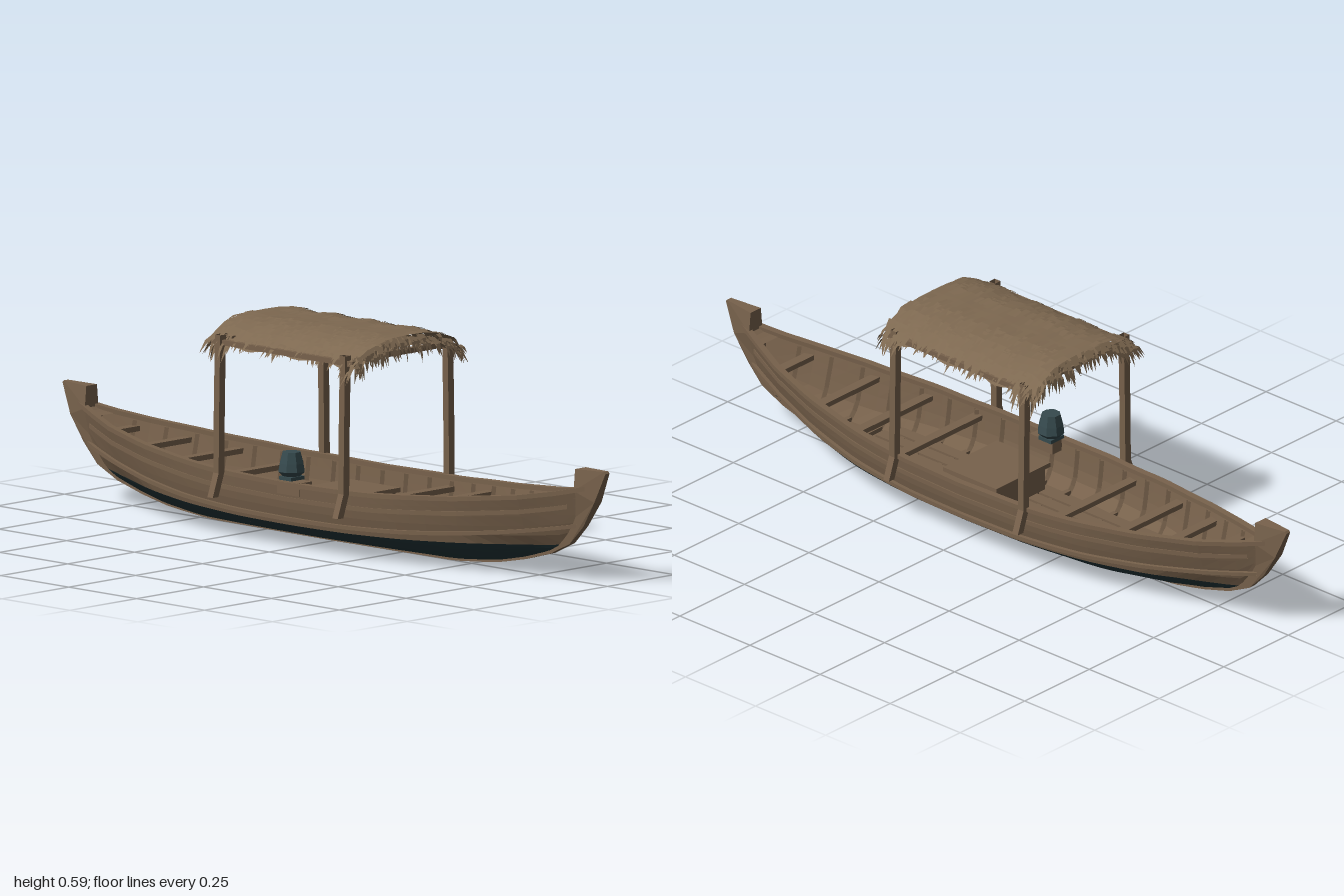
import * as THREE from 'three';
import { mergeGeometries } from 'three/addons/utils/BufferGeometryUtils.js';

const mat = (name, color) => new THREE.MeshStandardMaterial({ name, color, side: THREE.DoubleSide });

// piecewise linear lookup
function lut(table, v) {
  if (v <= table[0][0]) return table[0][1];
  for (let i = 1; i < table.length; i++) {
    const [a, b] = [table[i - 1], table[i]];
    if (v <= b[0]) return a[1] + (b[1] - a[1]) * (v - a[0]) / (b[0] - a[0]);
  }
  return table[table.length - 1][1];
}

// hull lines: keel height, gunwale height, half beam and paint line along x
const END = 0.94;
const keelY = x => lut([[0, 0.006], [0.45, 0.008], [0.6, 0.022], [0.7, 0.042], [0.8, 0.07], [0.86, 0.1], [0.94, 0.19]], Math.abs(x));
const gunY = x => lut([[0, 0.173], [0.3, 0.178], [0.55, 0.195], [0.75, 0.217], [0.86, 0.236], [0.94, 0.255]], Math.abs(x));
const beam = x => lut([[0, 0.19], [0.2, 0.187], [0.4, 0.168], [0.6, 0.128], [0.75, 0.085], [0.86, 0.042], [0.94, 0.012]], Math.abs(x));
const paintY = x => Math.max(keelY(x), 0.062 + 0.03 * Math.pow(Math.abs(x) / 0.85, 2));
const section = [[0, 0.05], [0.06, 0.34], [0.17, 0.66], [0.32, 0.9], [0.65, 0.97], [1, 1]];
function halfWidth(x, y) {
  const t = THREE.MathUtils.clamp((y - keelY(x)) / (gunY(x) - keelY(x)), 0, 1);
  return beam(x) * THREE.MathUtils.lerp(lut(section, t), 0.1 + 0.9 * t, Math.pow(Math.abs(x) / END, 3));
}

// grid surface from f(u, v) -> [x, y, z]
function sheet(nu, nv, f) {
  const pos = [], idx = [];
  for (let i = 0; i <= nu; i++) for (let j = 0; j <= nv; j++) pos.push(...f(i / nu, j / nv));
  for (let i = 0; i < nu; i++) for (let j = 0; j < nv; j++) {
    const a = i * (nv + 1) + j, b = a + nv + 1;
    idx.push(a, b, a + 1, b, b + 1, a + 1);
  }
  const g = new THREE.BufferGeometry();
  g.setAttribute('position', new THREE.Float32BufferAttribute(pos, 3));
  g.setIndex(idx);
  return flat(g);
}
function flat(geo) {
  const g = geo.index ? geo.toNonIndexed() : geo;
  g.deleteAttribute('uv');
  g.computeVertexNormals();
  return g;
}
const along = (u, end = END) => (u * 2 - 1) * end;

// rectangular strip following the hull side at height yf(x)
function strip(side, yf, out, inn, h, end = END) {
  return sheet(40, 4, (u, v) => {
    const x = along(u, end), y = yf(x), k = Math.round(v * 4) % 4;
    const z = Math.max(0.001, halfWidth(x, y) + (k === 0 || k === 3 ? out : -inn));
    return [x, y + (k < 2 ? -h / 2 : h / 2), side * z];
  });
}

export function createModel() {
  const boat = new THREE.Group();
  boat.name = 'boat';
  const wood = mat('weathered wood', 0x78624c);
  const paint = mat('dark teal paint', 0x23363a);
  const thatch = mat('dry thatch', 0x7d6850);
  const metal = mat('motor grey teal', 0x364a4e);
  let seed = 7;
  const rnd = (a, b) => {
    seed = (seed * 16807) % 2147483647;
    return a + (b - a) * seed / 2147483647;
  };
  const add = (name, geo, m) => {
    const mesh = new THREE.Mesh(Array.isArray(geo) ? mergeGeometries(geo.map(flat)) : flat(geo), m);
    mesh.name = name;
    boat.add(mesh);
    return mesh;
  };
  const box = (w, h, d, x, y, z) => new THREE.BoxGeometry(w, h, d).translate(x, y, z);
  const sides = [1, -1];

  // hull skins
  const skin = (s, lo, hi, n, inset) => sheet(40, n, (u, v) => {
    const x = along(u), y = lo(x) + (hi(x) - lo(x)) * v;
    return [x, y, s * Math.max(0.001, halfWidth(x, y) - inset)];
  });
  const floorY = x => Math.max(0.05, keelY(x) + 0.03);
  add('paintedBottom', sides.map(s => skin(s, keelY, paintY, 6, 0)), paint);
  add('hullSides', sides.map(s => skin(s, paintY, gunY, 5, 0)), wood);
  add('innerPlanking', sides.map(s => skin(s, floorY, gunY, 4, 0.012)), wood);
  add('floor', sheet(40, 2, (u, v) => {
    const x = along(u, 0.88), y = floorY(x);
    return [x, y, (v * 2 - 1) * Math.max(0.001, halfWidth(x, y) - 0.01)];
  }), wood);

  // rails and strakes
  add('gunwales', sides.map(s => strip(s, gunY, 0.005, 0.014, 0.012)), wood);
  add('rubRails', sides.map(s => strip(s, x => 0.08 + 0.07 * Math.pow(Math.abs(x) / 0.9, 2.4), 0.012, 0.004, 0.01, 0.9)), wood);
  add('upperStrakes', sides.map(s => strip(s, x => gunY(x) - 0.04, 0.004, 0.004, 0.012, 0.88)), wood);

  // keel and raised stem posts
  add('keel', sheet(40, 4, (u, v) => {
    const x = along(u), k = Math.round(v * 4) % 4;
    return [x, keelY(x) + (k < 2 ? -0.006 : 0.006), (k === 0 || k === 3 ? 1 : -1) * 0.009];
  }), wood);
  const stemShape = new THREE.Shape([[0.82, 0.074], [0.87, 0.098], [0.92, 0.15], [0.965, 0.22], [1, 0.3], [0.995, 0.305],
    [0.9, 0.303], [0.9, 0.245], [0.88, 0.235], [0.875, 0.16]].map(p => new THREE.Vector2(...p)));
  add('stemPosts', [0, Math.PI].map(turn => {
    const g = new THREE.ExtrudeGeometry(stemShape, { depth: 2, bevelEnabled: false }).translate(0, 0, -1);
    const p = g.attributes.position;
    for (let i = 0; i < p.count; i++) {
      const x = p.getX(i), y = p.getY(i);
      const w = lut([[0.07, 0.009], [0.15, 0.011], [0.235, 0.028], [0.305, 0.021]], y) * lut([[0.89, 1], [1, 0.35]], x);
      p.setZ(i, p.getZ(i) * w);
    }
    return g.rotateY(turn);
  }), wood);
  add('endDecks', sides.map(s => sheet(4, 2, (u, v) => {
    const x = s * (0.85 + 0.08 * u);
    return [x, gunY(x) - 0.004, (v * 2 - 1) * beam(x)];
  })), wood);

  // ribs, thwarts and floor boards
  const ribs = [], boards = [];
  for (let i = -9; i <= 9; i++) {
    const x = i * 0.088;
    for (const s of sides) {
      const pts = [0, 0.25, 0.5, 0.75, 1].map(t => {
        const y = floorY(x) + (gunY(x) - 0.008 - floorY(x)) * t;
        return new THREE.Vector3(x, y, s * Math.max(0.004, halfWidth(x, y) - 0.014));
      });
      ribs.push(new THREE.TubeGeometry(new THREE.CatmullRomCurve3(pts), 5, 0.008, 4));
    }
    ribs.push(box(0.014, 0.012, 2 * halfWidth(x, floorY(x)) - 0.02, x, floorY(x) + 0.006, 0));
  }
  for (let i = -2; i <= 2; i++) boards.push(box(1.1 - Math.abs(i) * 0.08, 0.008, 0.036, rnd(-0.02, 0.02), 0.062, i * 0.045));
  add('ribs', ribs, wood);
  add('floorBoards', boards, wood);
  add('thwarts', [-0.79, -0.645, -0.49, -0.295, 0.26, 0.42, 0.58, 0.765].map(x => {
    const y = gunY(x) - 0.028;
    return box(0.028, 0.014, 2 * halfWidth(x, y) - 0.014, x, y, 0);
  }), wood);

  // midship chest and motor pad
  add('chest', [box(0.17, 0.075, 0.19, 0.04, 0.095, 0), box(0.19, 0.012, 0.21, 0.04, 0.138, 0)], wood);
  add('motorPad', box(0.08, 0.035, 0.05, 0.01, 0.163, 0.165), wood);

  // outboard motor
  const cyl = (rt, rb, h, y, n = 8) => new THREE.CylinderGeometry(rt, rb, h, n).rotateY(Math.PI / 8).translate(-0.01, y, 0.156);
  add('motorCowl', [cyl(0.025, 0.033, 0.03, 0.24), cyl(0.033, 0.037, 0.022, 0.214), cyl(0.037, 0.025, 0.012, 0.197)], metal);
  add('motorLeg', [cyl(0.015, 0.015, 0.03, 0.183), box(0.045, 0.01, 0.05, -0.01, 0.185, 0.156)], metal);

  // canopy posts with flared feet lashed outside the hull
  const posts = [], frame = [];
  for (const x of [-0.23, 0.23]) {
    for (const s of sides) {
      const top = s > 0 ? 0.201 : -0.186;
      const path = [[0.115, 0.026], [0.135, 0.019], [0.178, 0.004], [0.35, 0.002], [0.545, -0.002]];
      posts.push(sheet(4, 4, (u, v) => {
        const [y, off] = path[Math.round(u * 4)];
        const a = Math.PI / 4 + Math.round(v * 4) * Math.PI / 2;
        return [x + 0.014 * Math.cos(a), y, top + s * off + 0.015 * Math.sin(a)];
      }));
    }
    frame.push(box(0.016, 0.014, 0.38, x, 0.53, 0.006));
  }
  for (const z of [-0.186, 0.196]) frame.push(box(0.52, 0.014, 0.014, 0, 0.525, z));
  add('canopyPosts', posts, wood);
  add('canopyFrame', frame, wood);

  // arched thatch roof
  const roofY = (x, z) => lut([[0, 0.582], [0.06, 0.581], [0.11, 0.574], [0.16, 0.558], [0.19, 0.54], [0.25, 0.49]], Math.abs(z))
    + 0.003 * Math.sin(x * 45);
  for (const [name, drop] of [['roofTop', 0], ['roofUnderside', 0.028]]) {
    add(name, sheet(28, 14, (u, v) => {
      const x = along(u, 0.268), z = (v * 2 - 1) * (0.187 + 0.008 * Math.sin(x * 38));
      return [x, roofY(x, z) - drop, z];
    }), thatch);
  }

  // loose thatch blades: each is a bent tapering leaf
  const pos = [];
  const blade = (a, m, t, w, acrossX) => {
    const side = acrossX ? [w, 0, 0] : [0, 0, w];
    const shift = (p, k) => p.map((c, i) => c + k * side[i]);
    const [a1, a2, m1, m2] = [shift(a, 1), shift(a, -1), shift(m, 0.8), shift(m, -0.8)];
    pos.push(...a1, ...a2, ...m1, ...a2, ...m2, ...m1, ...m1, ...m2, ...t);
  };
  for (const s of sides) {
    // overlapping courses down each slope
    for (const z0 of [0.01, 0.07, 0.12]) for (let i = 0; i < 34; i++) {
      const x = rnd(-0.265, 0.265), z = z0 + rnd(0, 0.04), l = rnd(0.05, 0.075), skew = rnd(-0.012, 0.012);
      const at = (k, lift) => [x + skew * k, roofY(x, z + l * k) + lift, s * (z + l * k)];
      blade(at(0, 0.0005), at(0.6, 0.003), at(1, 0.001), rnd(0.006, 0.013), true);
    }
    // eaves, longest around the posts
    for (let i = 0; i < 130; i++) {
      const x = rnd(-0.275, 0.275), corner = Math.abs(Math.abs(x) - 0.235) < 0.04 ? 1 : 0.55;
      const z = rnd(0.15, 0.185), y = roofY(x, z) - rnd(0, 0.025), k = corner * rnd(0.5, 1), skew = rnd(-0.02, 0.02);
      blade([x, y, s * z], [x + skew * 0.5, y - 0.02 * k, s * (z + 0.03 * k)],
        [x + skew, y - 0.062 * k, s * (z + 0.055 * k)], rnd(0.004, 0.009), true);
    }
    // gable fringe
    for (let i = 0; i < 110; i++) {
      const z = rnd(-0.195, 0.195), x = rnd(0.245, 0.268), y = roofY(x, z) - rnd(0, 0.025), k = rnd(0.4, 1), skew = rnd(-0.015, 0.015) + z * 0.1;
      blade([s * x, y, z], [s * (x + 0.018 * k), y - 0.016 * k, z + skew * 0.5],
        [s * (x + 0.03 * k), y - 0.052 * k, z + skew], rnd(0.004, 0.009), false);
    }
  }
  const blades = new THREE.BufferGeometry();
  blades.setAttribute('position', new THREE.Float32BufferAttribute(pos, 3));
  add('thatchBlades', blades, thatch);

  return boat;
}
